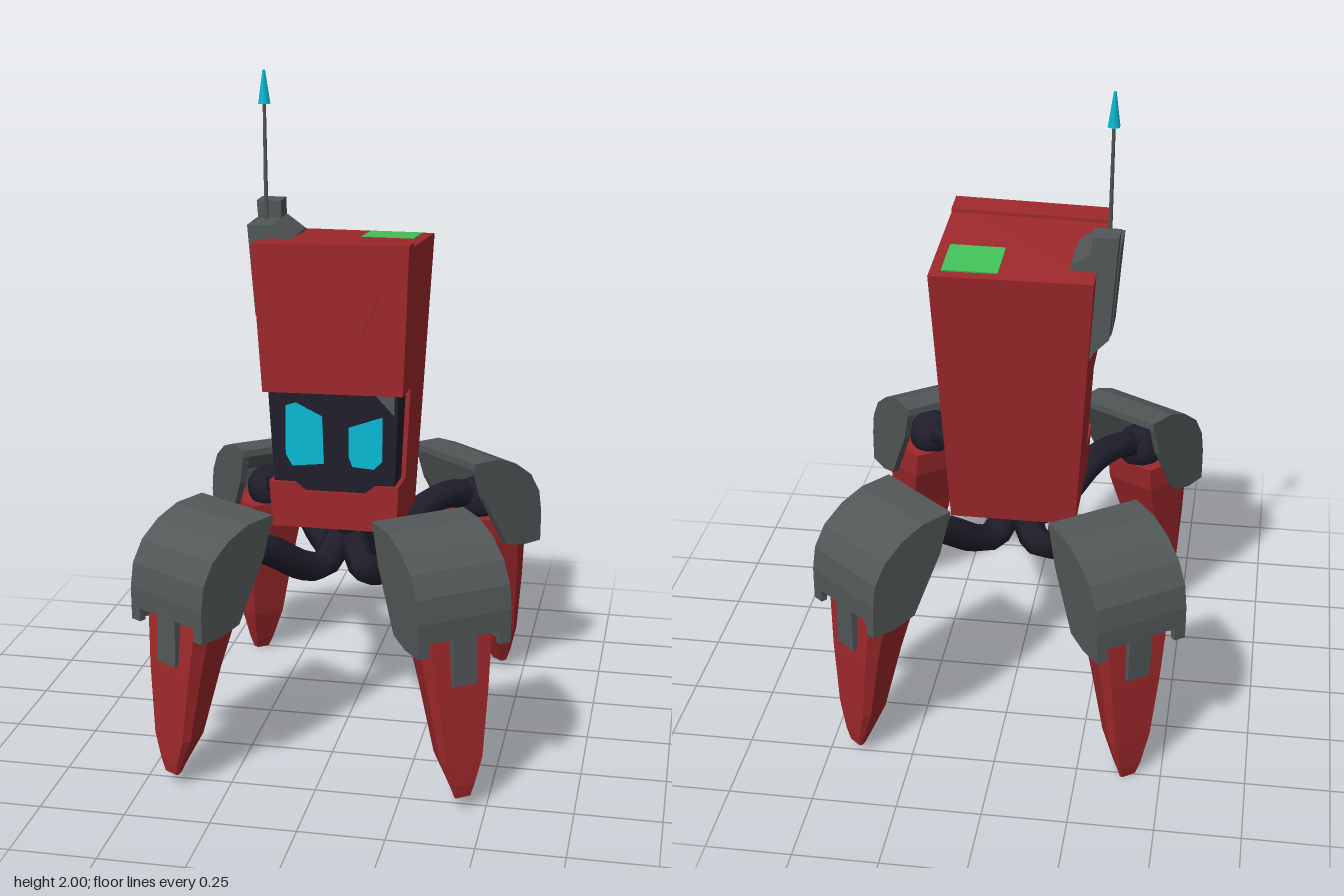
import * as THREE from 'three';

const mat = (name, color) => {
  const m = new THREE.MeshStandardMaterial({ color });
  m.name = name;
  return m;
};

export function createModel() {
  const red = mat('red paint', 0x9e282b);
  const grey = mat('grey armour', 0x525757);
  const dark = mat('dark metal', 0x1f1e2b);
  const cyan = mat('cyan glow', 0x0abad6);
  const green = mat('green panel', 0x43c25a);

  const model = new THREE.Group();
  model.name = 'walker';
  const add = (parent, name, geo, material) => {
    const m = new THREE.Mesh(geo, material);
    m.name = name;
    parent.add(m);
    return m;
  };
  const extrude = (pts, depth) => new THREE.ExtrudeGeometry(
    new THREE.Shape(pts.map(p => new THREE.Vector2(...p))), { depth, bevelEnabled: false });

  // ---- Body: pieces cut in a unit cube, then warped into the tapered hull
  const body = new THREE.Group();
  body.name = 'body';
  model.add(body);
  const left = v => -0.2 - 0.055 * v, right = v => 0.175 + 0.033 * v;
  const warp = (u, v, w) => {
    const yFront = 0.685 + 0.85 * v + 0.012 * (u - 0.5) * v;
    const yBack = 0.665 + 0.832 * v;
    const zBack = -0.19 - 0.123 * v;
    return [left(v) + (right(v) - left(v)) * u, yBack + (yFront - yBack) * w, zBack + (0.157 - zBack) * w];
  };
  const hullPart = (name, material, pts, w0, w1) => {
    const geo = extrude(pts, w1 - w0).translate(0, 0, w0);
    const p = geo.attributes.position;
    for (let i = 0; i < p.count; i++) p.setXYZ(i, ...warp(p.getX(i), p.getY(i), p.getZ(i)));
    geo.computeVertexNormals();
    return add(body, name, geo, material);
  };
  const rect = (u0, u1, v0, v1) => [[u0, v0], [u1, v0], [u1, v1], [u0, v1]];
  // front-plane x, y to unit coordinates
  const front = pts => pts.map(([x, y]) => {
    const v = (y - 0.685) / 0.85;
    return [(x - left(v)) / (right(v) - left(v)), v];
  });

  hullPart('upperHull', red, rect(0, 1, 0.49, 1), 0, 1);
  hullPart('rearHull', red, rect(0, 1, 0, 0.49), 0, 0.65);
  hullPart('chinHull', red, [[0, 0], [1, 0], [1, 0.165], [0.82, 0.165], [0.74, 0.135],
    [0.28, 0.135], [0.2, 0.165], [0, 0.165]], 0.65, 1);
  hullPart('visor', dark, rect(0.035, 0.965, 0.12, 0.5), 0.6, 0.965);
  hullPart('foreheadPlate', red, [[0, 1.013], [0, 0.84], ...front([[-0.185, 1.4], [-0.09, 1.257],
    [0.06, 1.257], [0.125, 1.4]]), [1, 0.84], [1, 1.013]], 0.99, 1.02);
  hullPart('topLedge', red, rect(0, 1, 0.99, 1.013), 0.84, 1);
  hullPart('rightEye', cyan, front([[-0.16, 1.06], [-0.13, 1.07], [-0.05, 1.03], [-0.045, 0.885],
    [-0.14, 0.875], [-0.16, 0.91]]), 0.96, 0.975);
  hullPart('leftEye', cyan, front([[0.03, 1.0], [0.13, 1.035], [0.13, 0.9], [0.105, 0.875],
    [0.04, 0.88], [0.03, 0.91]]), 0.96, 0.975);
  hullPart('visorCorner', grey, front([[0.11, 1.1], [0.165, 1.04], [0.165, 1.1]]), 0.96, 0.975);
  hullPart('roofPanel', green, rect(0.585, 0.93, 0.999, 1.005), 0.07, 0.4);

  // ---- Radio pack and antenna on the right flank
  const pack = new THREE.Group();
  pack.name = 'radioPack';
  model.add(pack);
  add(pack, 'packBase', extrude([[-0.28, 1.55], [-0.27, 1.3], [-0.23, 1.21], [-0.2, 1.25],
    [-0.18, 1.515], [-0.235, 1.555]], 0.195).translate(0, 0, -0.235), grey);
  const column = (top, bottom) => [[-0.315, top], [-0.293, bottom], [-0.235, bottom - 0.06], [-0.24, top]];
  add(pack, 'rearColumn', extrude(column(1.607, 1.3), 0.076).translate(0, 0, -0.24), grey);
  add(pack, 'frontColumn', extrude(column(1.555, 1.28), 0.124).translate(0, 0, -0.164), grey);
  const antenna = new THREE.Group();
  antenna.name = 'antenna';
  antenna.position.set(-0.28, 1.52, -0.143);
  antenna.rotation.set(-0.033, 0, 0.015);
  add(antenna, 'antennaRod', new THREE.CylinderGeometry(0.005, 0.007, 0.4, 6).translate(0, 0.2, 0), grey);
  add(antenna, 'antennaTip', new THREE.CylinderGeometry(0.004, 0.019, 0.1, 6).translate(0, 0.43, 0), cyan);
  pack.add(antenna);

  // ---- Hub under the body
  add(model, 'hub', new THREE.CylinderGeometry(0.085, 0.05, 0.08, 8).translate(0, 0.645, 0), dark);

  // Lofts rings of points, from top to bottom, with flat faces
  const loft = rings => {
    const pos = [], n = rings[0].length;
    const tri = (...t) => t.forEach(p => pos.push(...p));
    for (let i = 0; i < rings.length - 1; i++) {
      for (let j = 0; j < n; j++) {
        const k = (j + 1) % n, [a, b] = [rings[i], rings[i + 1]];
        tri(a[j], b[j], a[k]);
        tri(a[k], b[j], b[k]);
      }
    }
    const top = rings[0], end = rings[rings.length - 1];
    for (let k = 1; k < n - 1; k++) {
      tri(top[0], top[k], top[k + 1]);
      tri(end[0], end[k + 1], end[k]);
    }
    const geo = new THREE.BufferGeometry();
    geo.setAttribute('position', new THREE.Float32BufferAttribute(pos, 3));
    geo.computeVertexNormals();
    return geo;
  };
  // Extrudes an outward/up profile across the width of a leg
  const across = (pts, x0, x1) => extrude(pts, x1 - x0).rotateY(-Math.PI / 2).translate(x1, 0, 0);

  // ---- Legs: local z points outwards
  const outer = [[-0.14, 0.802], [-0.04, 0.798], [0.035, 0.77], [0.1, 0.722], [0.137, 0.66], [0.148, 0.59], [0.148, 0.53]];
  const inner = [[0.128, 0.53], [0.128, 0.59], [0.118, 0.65], [0.085, 0.705], [0.025, 0.75], [-0.045, 0.777], [-0.14, 0.78]];
  const wall = [...outer, [0.147, 0.49], [0.07, 0.49], [0, 0.508], [-0.1, 0.68]];

  const makeLeg = (name, x, z, dx, dz, lift, lean, tipY) => {
    const leg = new THREE.Group();
    leg.name = name;
    leg.position.set(x, lift, z);
    leg.rotation.y = Math.atan2(dx, dz);
    model.add(leg);
    add(leg, 'armourCover', across([...outer, ...inner], -0.147, 0.147), grey);
    for (const s of [-1, 1]) {
      add(leg, 'armourSide', across(wall, s * 0.137 - 0.01, s * 0.137 + 0.01), grey);
      add(leg, 'armourCorner', new THREE.BoxGeometry(0.035, 0.05, 0.02).translate(s * 0.129, 0.515, 0.138), grey);
    }
    add(leg, 'armourTab', across([[0.12, 0.56], [0.125 + lean * 0.15, 0.39], [0.15 + lean * 0.15, 0.39],
      [0.148, 0.56]], -0.037, 0.037), grey);
    add(leg, 'shoulderJoint', new THREE.IcosahedronGeometry(0.075, 2).translate(0, 0.62, 0), dark);
    // clawed foot, tapering to a blunt tip: height, inner, outer, half width
    const rings = [[0.58, -0.06, 0.118, 0.112], [0.5, -0.05, 0.128, 0.112], [0.36, 0, 0.14, 0.094],
      [0.16, 0.058, 0.148, 0.068], [tipY + 0.04, 0.1, 0.148, 0.04], [tipY, 0.12, 0.143, 0.026]].map(([y, ri, ro, w]) => {
      const o = lean * (0.55 - y), mid = ro - (ro - ri) * 0.25;
      return [[-0.85 * w, ro], [0.85 * w, ro], [w, mid], [0.75 * w, ri], [-0.75 * w, ri], [-w, mid]]
        .map(([px, pz]) => [px, y, pz + o]);
    });
    add(leg, 'claw', loft(rings), red);
    // bent arm from the hub to the shoulder
    const path = new THREE.CatmullRomCurve3([[0.04, 0.635], [0.18, 0.54], [0.32, 0.555], [0.6, 0.645], [0.82, 0.655], [1, 0.62 + lift]]
      .map(([t, y]) => new THREE.Vector3(x * t, y, z * t)));
    add(model, name + 'Arm', new THREE.TubeGeometry(path, 16, 0.046, 6), dark);
  };
  makeLeg('frontRightLeg', -0.344, 0.425, -0.52, 0.854, -0.003, 0.005, 0.045);
  makeLeg('frontLeftLeg', 0.346, 0.414, 0.597, 0.802, 0, 0.025, 0.045);
  makeLeg('backRightLeg', -0.347, -0.427, -0.59, -0.808, -0.015, -0.08, 0.018);
  makeLeg('backLeftLeg', 0.342, -0.402, 0.66, -0.75, -0.005, -0.03, 0.033);

  return model;
}
